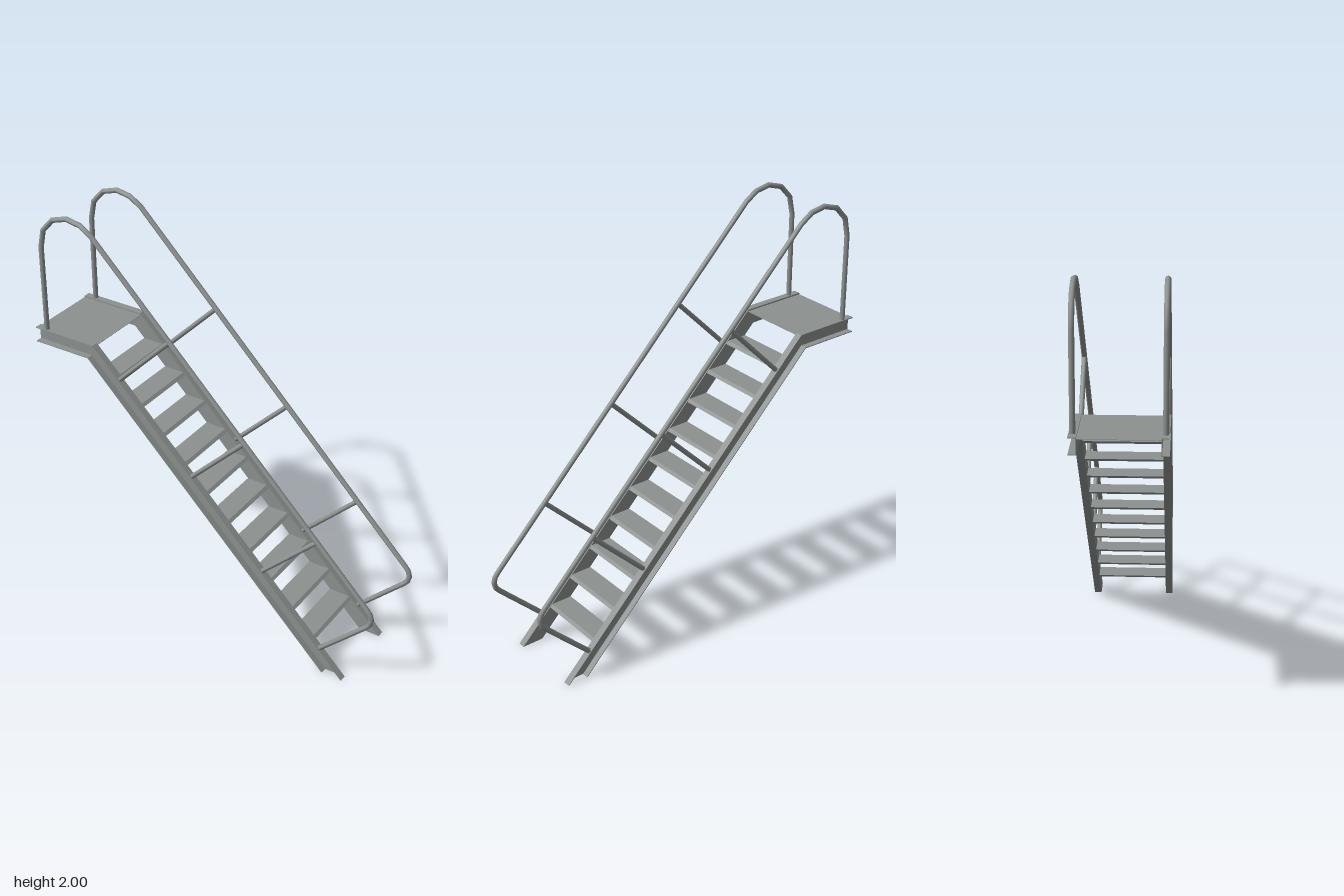
import * as THREE from 'three';

const mat = new THREE.MeshStandardMaterial({ color: 0x8c9190, side: THREE.DoubleSide });
const WEB = 0.172, EDGE = 0.207, RAIL_Z = 0.19, SHEET = 0.004, DEPTH = 0.077;

function add(parent, name, geometry) {
  const mesh = new THREE.Mesh(geometry, mat);
  mesh.name = name;
  parent.add(mesh);
  return mesh;
}

// Side outline extruded between two z planes
function slab(points, z0, z1) {
  const shape = new THREE.Shape(points.map(([x, y]) => new THREE.Vector2(x, y)));
  return new THREE.ExtrudeGeometry(shape, { depth: z1 - z0, bevelEnabled: false }).translate(0, 0, z0);
}

// Line running along the platform and down the slope, d below the top edge
const run = (d) => [[-0.93, 1.385 - d], [-0.595 - 0.414 * d, 1.385 - d], [0.79 - 1.414 * d, 0]];
const band = (d0, d1) => [...run(d0), ...run(d1).reverse()];

// Round pipe with mitred bends through points in the xy plane
function pipe(points, r, z) {
  const pts = points.map(([x, y]) => new THREE.Vector2(x, y));
  const n = pts.length - 1;
  const g = new THREE.CylinderGeometry(r, r, 1, 12, n, true);
  const pos = g.attributes.position;
  for (let k = 0; k < pos.count; k++) {
    const i = Math.round((0.5 - pos.getY(k)) * n);
    const a = pts[i].clone().sub(pts[Math.max(i - 1, 0)]).normalize();
    const b = pts[Math.min(i + 1, n)].clone().sub(pts[i]).normalize();
    const t = a.clone().add(b).normalize();
    const stretch = i > 0 && i < n ? 1 / t.dot(b) : 1;
    const off = pos.getX(k) * stretch;
    pos.setXYZ(k, pts[i].x - t.y * off, pts[i].y + t.x * off, z + pos.getZ(k));
  }
  g.computeVertexNormals();
  return g;
}

const railPath = [
  [-0.875, 1.38], [-0.875, 1.81], [-0.856, 1.9], [-0.798, 1.963], [-0.718, 1.988], [-0.642, 1.975], [-0.58, 1.935],
  [0.89, 0.465], [0.909, 0.442], [0.917, 0.413], [0.909, 0.383], [0.89, 0.36], [0.655, 0.125],
];

export function createModel() {
  const model = new THREE.Group();
  model.name = 'platformStairs';

  for (const [side, s] of [['frontSide', 1], ['backSide', -1]]) {
    const group = new THREE.Group();
    group.name = side;
    model.add(group);
    const part = (name, pts, a, b) => add(group, name, slab(pts, Math.min(a * s, b * s), Math.max(a * s, b * s)));

    // Channel stringer: web inside, flanges facing outwards
    part('stringerWeb', band(0, DEPTH), WEB, WEB + SHEET);
    part('stringerTopFlange', band(0, SHEET), WEB + SHEET, EDGE);
    part('stringerBottomFlange', band(DEPTH - SHEET, DEPTH), WEB + SHEET, EDGE);

    // Handrail and its posts, square to the slope
    add(group, 'handrail', pipe(railPath, 0.0125, RAIL_Z * s));
    for (const x of [-0.17, 0.228, 0.62]) {
      const y = 1.355 - x;
      add(group, 'railPost', pipe([[x, y], [x - 0.284, y - 0.284]], 0.0115, RAIL_Z * s));
    }
  }

  // Platform plate
  add(model, 'platform', new THREE.BoxGeometry(0.34, 0.002, 2 * WEB)).position.set(-0.76, 1.377, 0);

  // Treads: level plates with both long edges cut along the slope
  const FRONT = 0.787, BACK = 0.68;
  for (let i = 0; i < 10; i++) {
    const top = 1.255 - i * 0.1203, low = top - 0.013;
    const outline = [[BACK - top, top], [BACK - low, low], [FRONT - low, low], [FRONT - top, top]];
    add(model, 'tread', slab(outline, -WEB, WEB));
  }
  return model;
}
